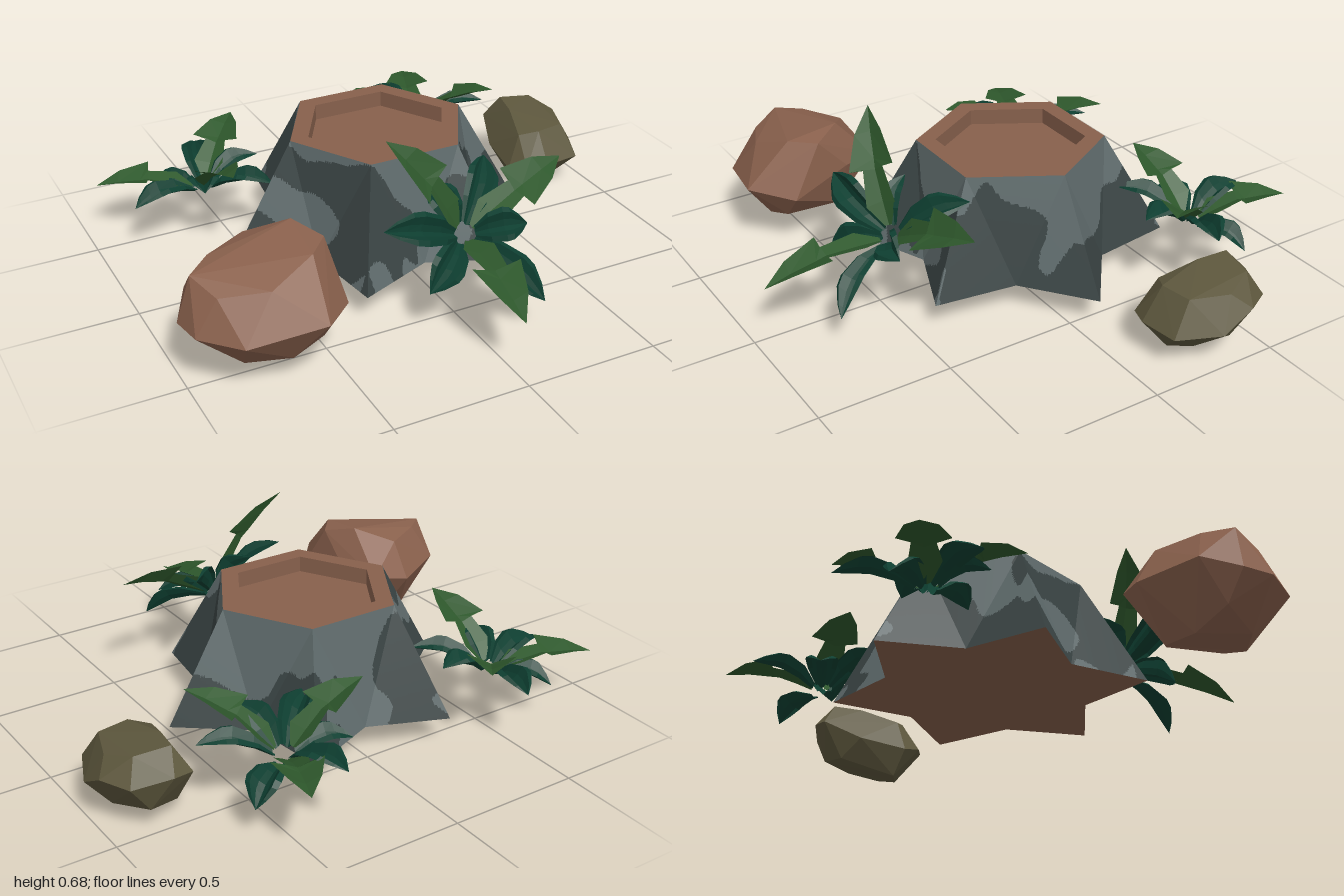
import * as THREE from 'three';
import { ConvexGeometry } from 'three/addons/geometries/ConvexGeometry.js';

const makeMaterial = (name, color) => {
  const m = new THREE.MeshStandardMaterial({ color, flatShading: true, side: THREE.DoubleSide });
  m.name = name;
  return m;
};
const V = (x, y, z) => new THREE.Vector3(x, y, z);

function addMesh(parent, name, geometry, material) {
  const mesh = new THREE.Mesh(geometry, material);
  mesh.name = name;
  parent.add(mesh);
  return mesh;
}

function fromTriangles(points) {
  const g = new THREE.BufferGeometry().setFromPoints(points);
  g.computeVertexNormals();
  return g;
}

// Star-footed stump with a hexagonal top
const TOP = 0.35, HOLE = 0.278, Y0 = 0.102, Y1 = 0.505;

function ringPoint(i, r, y) {
  const a = i * Math.PI / 6;
  return V(Math.cos(a) * r, y, Math.sin(a) * r);
}
const footPoint = (i, y) => ringPoint(i, i % 2 ? 0.385 : 0.582, y);

// Blotches: smooth warped waves, large and dense near the foot
function isDark(p) {
  const x = p.x + 0.05 * Math.sin(17 * p.z + 9 * p.y), y = p.y + 0.04 * Math.sin(19 * p.x + 2);
  const z = p.z + 0.05 * Math.sin(15 * p.x - 12 * p.y);
  const n = Math.sin(12 * x + 1) * Math.cos(10 * z + 0.5) + 0.7 * Math.sin(16 * y + 9 * z)
    + 0.45 * Math.sin(25 * x - 21 * z + 13 * y);
  return n + (0.29 - p.y) * 4.5 > 0.15;
}

// Cuts a flat face into small triangles and sorts them by colour
function paintFace(a, b, c, light, dark) {
  const N = 40;
  const at = (u, v) => a.clone().multiplyScalar(1 - (u + v) / N).addScaledVector(b, u / N).addScaledVector(c, v / N);
  const put = (...tri) => {
    const mid = V(0, 0, 0);
    tri.forEach(p => mid.addScaledVector(p, 1 / 3));
    (isDark(mid) ? dark : light).push(...tri);
  };
  for (let u = 0; u < N; u++) for (let v = 0; u + v < N; v++) {
    put(at(u, v), at(u + 1, v), at(u, v + 1));
    if (u + v < N - 1) put(at(u + 1, v), at(u + 1, v + 1), at(u, v + 1));
  }
}

function buildStump(bark, darkBark, wood) {
  const stump = new THREE.Group();
  stump.name = 'stump';
  const light = [], dark = [];
  for (let i = 0; i < 12; i += 2) {
    const c0 = ringPoint(i, TOP, Y1), c1 = ringPoint(i + 2, TOP, Y1);
    const tip0 = footPoint(i, Y0), valley = footPoint(i + 1, Y0), tip1 = footPoint(i + 2, Y0);
    paintFace(tip0, c0, valley, light, dark);
    paintFace(c0, c1, valley, light, dark);
    paintFace(valley, c1, tip1, light, dark);
  }
  addMesh(stump, 'barkSides', fromTriangles(light), bark);
  addMesh(stump, 'barkBlotches', fromTriangles(dark), darkBark);

  // Rim, shallow recess and underside
  addMesh(stump, 'rim', new THREE.RingGeometry(HOLE, TOP, 6).rotateX(-Math.PI / 2).translate(0, Y1, 0), wood);
  const depth = 0.06;
  addMesh(stump, 'recessWall', new THREE.CylinderGeometry(HOLE, HOLE, depth, 6, 1, true)
    .rotateY(Math.PI / 2).translate(0, Y1 - depth / 2, 0), wood);
  addMesh(stump, 'recessFloor', new THREE.CircleGeometry(HOLE, 6).rotateX(-Math.PI / 2)
    .translate(0, Y1 - depth, 0), wood);
  const star = new THREE.Shape();
  for (let i = 0; i < 12; i++) {
    const p = footPoint(i, 0);
    if (i) star.lineTo(p.x, p.z); else star.moveTo(p.x, p.z);
  }
  addMesh(stump, 'underside', new THREE.ShapeGeometry(star).rotateX(Math.PI / 2).translate(0, Y0, 0), wood);
  stump.position.set(-0.013, 0, -0.08);
  return stump;
}

// Leaf outlines: rows of [position of midrib, position of edge, half width]
const BROAD = [[0, 0, 0.022], [0.25, 0.27, 0.052], [0.55, 0.55, 0.062], [0.72, 0.68, 0.058], [0.88, 0.86, 0.032], [1, 1, 0]];
const BARBED = [[0, 0, 0.014], [0.2, 0.17, 0.058], [0.46, 0.47, 0.04], [0.55, 0.47, 0.09], [0.78, 0.77, 0.054], [1, 1, 0]];

// A leaf is lofted from base to tip; the cross-section is pleated
function leafGeometry(center, tip, axis, rows, pleat, arch) {
  const dir = tip.clone().sub(center);
  const base = center.clone().addScaledVector(dir.clone().normalize(), 0.04);
  const side = dir.clone().cross(axis).normalize();
  const up = side.clone().cross(dir).normalize();
  const K = pleat.length - 1;
  const grid = rows.map(([tm, te, w]) => pleat.map((lift, k) => {
    const s = (k / K) * 2 - 1, t = tm + (te - tm) * Math.abs(s);
    return base.clone().lerp(tip, t).addScaledVector(side, s * w)
      .addScaledVector(up, arch * Math.sin(Math.PI * t) + lift * w);
  }));
  const tris = [];
  for (let r = 0; r < rows.length - 1; r++) for (let k = 0; k < K; k++) {
    const a = grid[r][k], b = grid[r][k + 1], c = grid[r + 1][k + 1], d = grid[r + 1][k];
    tris.push(a, b, d);
    if (r < rows.length - 2) tris.push(b, c, d);
  }
  return fromTriangles(tris);
}

// Barbed leaves are [tip offset, direction the leaf faces]
function buildPlant(name, center, axis, broadTips, barbedLeaves, broadMat, barbedMat) {
  const plant = new THREE.Group();
  plant.name = name;
  const c = V(...center), n = V(...axis).normalize();
  for (const t of broadTips)
    addMesh(plant, 'broadLeaf', leafGeometry(c, c.clone().add(V(...t)), n, BROAD,
      [0.25, 0.4, -0.05, -0.3, -0.05, 0.4, 0.25], 0.04), broadMat);
  for (const [t, facing] of barbedLeaves)
    addMesh(plant, 'barbedLeaf', leafGeometry(c, c.clone().add(V(...t)), V(...facing), BARBED,
      [0.3, -0.1, 0.3], 0.035), barbedMat);
  return plant;
}

export function createModel() {
  const model = new THREE.Group();
  model.name = 'stumpWithPlantsAndRocks';
  const bark = makeMaterial('greyBark', 0x5f6b6c);
  const darkBark = makeMaterial('darkGreyBark', 0x3a4444);
  const wood = makeMaterial('brownWood', 0x87604c);
  const clay = makeMaterial('brownRock', 0x8a614d);
  const olive = makeMaterial('oliveRock', 0x5d573d);
  const teal = makeMaterial('darkGreenLeaf', 0x0e3f31);
  const green = makeMaterial('greenLeaf', 0x2e582c);

  model.add(buildStump(bark, darkBark, wood));

  // Faceted rocks as hulls of a few points
  const rock = (name, pts, mat) => addMesh(model, name, new ConvexGeometry(pts.map(p => V(...p))), mat);
  rock('brownRock', [
    [-1, 0.22, 0.44], [-0.93, 0.27, 0.32], [-0.71, 0.26, 0.2], [-0.56, 0.29, 0.22], [-0.5, 0.3, 0.36],
    [-0.46, 0.23, 0.6], [-0.59, 0.26, 0.74], [-0.75, 0.25, 0.7], [-0.86, 0.22, 0.69], [-0.98, 0.22, 0.56],
    [-0.95, 0.39, 0.45], [-0.86, 0.4, 0.37], [-0.7, 0.4, 0.28], [-0.56, 0.46, 0.37], [-0.49, 0.43, 0.48],
    [-0.57, 0.43, 0.57], [-0.74, 0.37, 0.63], [-0.9, 0.35, 0.56],
    [-0.92, 0.12, 0.42], [-0.8, 0.06, 0.36], [-0.66, 0.07, 0.32], [-0.55, 0.12, 0.38], [-0.55, 0.13, 0.6],
    [-0.67, 0.09, 0.62], [-0.82, 0.08, 0.56],
  ], clay);
  rock('oliveRock', [
    [0.655, 0.1, -0.2], [0.67, 0.13, -0.38], [0.72, 0.2, -0.52], [0.8, 0.21, -0.54], [0.94, 0.19, -0.5],
    [1, 0.2, -0.4], [1, 0.13, -0.28], [0.93, 0.13, -0.12], [0.78, 0.13, -0.1], [0.7, 0.12, -0.13],
    [0.71, 0.23, -0.22], [0.75, 0.28, -0.36], [0.77, 0.29, -0.47], [0.9, 0.28, -0.45], [0.95, 0.25, -0.34],
    [0.9, 0.25, -0.2], [0.78, 0.25, -0.18],
    [0.71, 0, -0.23], [0.8, 0.005, -0.2], [0.88, 0.03, -0.25], [0.94, 0.07, -0.36], [0.86, 0.08, -0.48],
    [0.74, 0.06, -0.44],
  ], olive);

  // Plants: the front one leans outwards, the two behind grow upright
  const UP = [0, 1, 0];
  model.add(buildPlant('frontPlant', [0.05, 0.29, 0.47], [0, 0.65, 0.75],
    [[-0.34, 0.12, 0.05], [-0.21, -0.11, 0.14], [0.16, -0.16, 0.29], [0.2, 0.17, -0.21], [0.21, 0.03, 0.08], [-0.1, 0.17, -0.12]],
    [[[-0.04, -0.08, 0.48], UP], [[-0.27, 0.39, -0.07], [0.5, 0.4, 0.8]], [[0.44, 0.17, -0.08], [-0.1, 0.8, 0.6]]],
    teal, green));
  model.add(buildPlant('backRightPlant', [0.42, 0.2, -0.6], UP,
    [[-0.06, 0.06, -0.28], [0.28, 0.08, 0.1], [0.19, -0.08, -0.12], [-0.22, 0.1, 0.19], [0.05, 0.1, 0.25], [-0.24, 0.02, -0.06]],
    [[[-0.33, 0.19, 0.02], UP], [[0.13, 0.07, -0.35], UP], [[0.23, 0.2, 0.26], UP]], teal, green));
  model.add(buildPlant('backLeftPlant', [-0.57, 0.18, -0.48], UP,
    [[0.08, 0.05, -0.3], [-0.3, 0.02, 0.09], [0.21, 0.06, 0.21], [0.24, 0.08, -0.02], [-0.16, -0.04, -0.17], [-0.06, 0.08, 0.2]],
    [[[-0.38, 0.03, -0.14], UP], [[0.23, 0.16, -0.27], UP], [[0, 0.2, 0.35], UP]], teal, green));
  return model;
}
